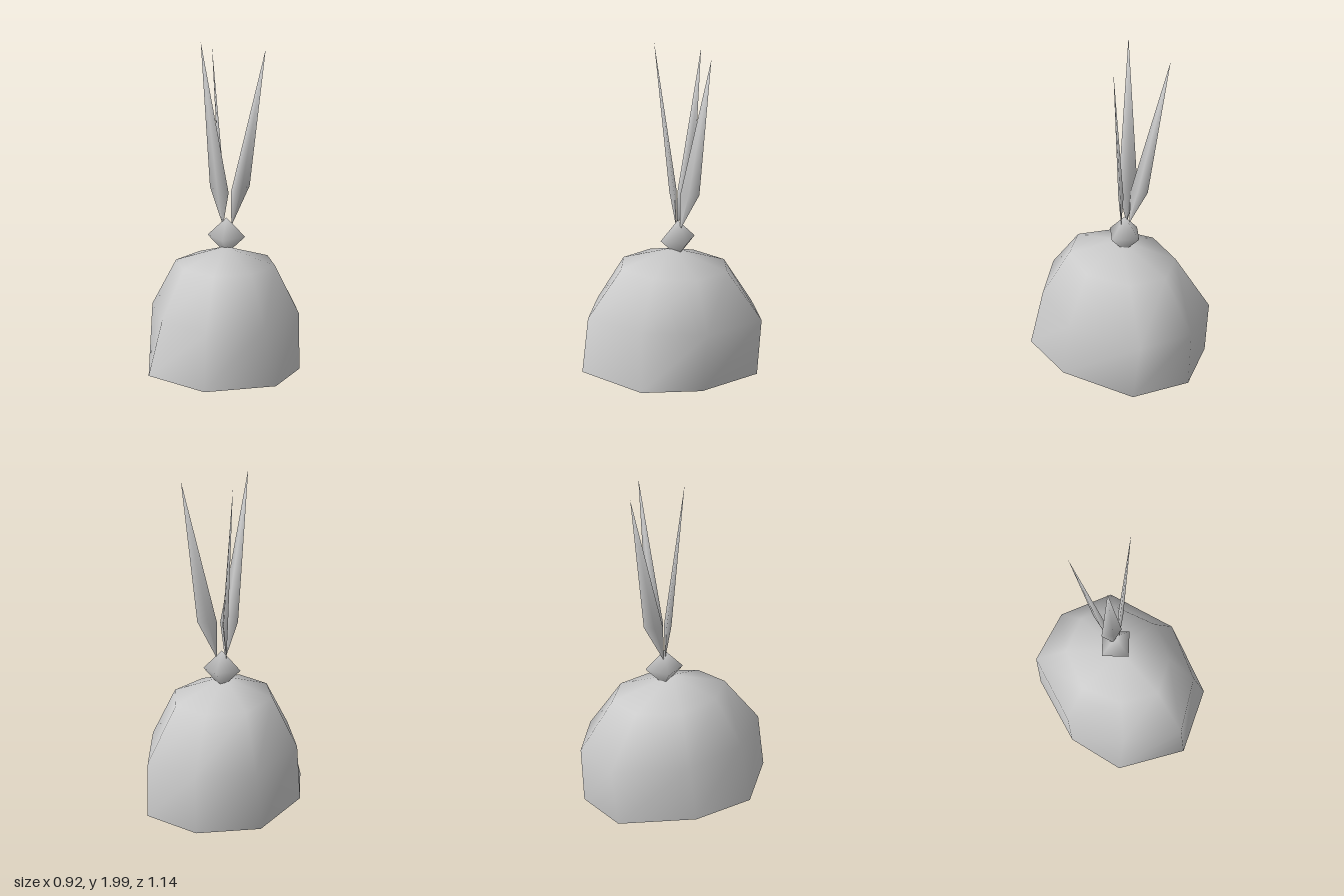
import * as THREE from 'three';

const material = new THREE.MeshStandardMaterial({ color: 0xcccccc, side: THREE.DoubleSide });

// Smooth skin over rings of equal point count, listed bottom to top.
// Rings run anticlockwise seen from above; a single repeated point closes an end.
function loft(rings) {
  const n = rings[0].length;
  const index = [];
  const vertices = [];
  const starts = rings.map((ring) => {
    const start = vertices.length;
    vertices.push(...ring);
    return start;
  });
  const at = (r, j) => starts[r] + (rings[r].length === 1 ? 0 : j % n);
  const size = Math.max(...rings.map((r) => r.length));
  for (let r = 0; r < rings.length - 1; r++) {
    for (let j = 0; j < size; j++) {
      const k = (j + 1) % size;
      const a = at(r, j), b = at(r, k), c = at(r + 1, k), d = at(r + 1, j);
      if (a !== b) index.push(a, b, c);
      if (c !== d) index.push(a, c, d);
    }
  }
  const g = new THREE.BufferGeometry();
  g.setAttribute('position', new THREE.Float32BufferAttribute(vertices.flat(), 3));
  g.setIndex(index);
  g.computeVertexNormals();
  return g;
}

function part(name, geometry) {
  const mesh = new THREE.Mesh(geometry, material);
  mesh.name = name;
  return mesh;
}

// Eight-sided ring mirrored from half an outline [x, z], front to back, on a tilted plane
function capRing(height, tilt, half) {
  const mirrored = half.slice(1, -1).reverse().map(([x, z]) => [-x, z]);
  return [...half, ...mirrored].map(([x, z]) => [x, height + tilt * z, z]);
}

// Slim blade: pointed base and tip, diamond section at its widest level
function feather(base, outer, inner, tip, thickness) {
  const dx = outer[0] - inner[0], dz = outer[2] - inner[2];
  const len = Math.hypot(dx, dz);
  const side = (s) => [
    (outer[0] + inner[0]) / 2 + (s * thickness * dz) / len,
    (outer[1] + inner[1]) / 2,
    (outer[2] + inner[2]) / 2 - (s * thickness * dx) / len,
  ];
  const middle = [outer, side(1), inner, side(-1)];
  return loft([Array(4).fill(base), middle, [tip]]);
}

export function createModel() {
  const model = new THREE.Group();
  model.name = 'featheredCap';

  // Open cap, wider front to back than across
  model.add(part('cap', loft([
    capRing(0.05, 0.086, [[0, 0.57], [0.375, 0.37], [0.46, 0.02], [0.34, -0.42], [0, -0.56]]),
    capRing(0.387, 0.082, [[0, 0.527], [0.3, 0.33], [0.447, -0.02], [0.322, -0.455], [0, -0.573]]),
    capRing(0.672, 0.08, [[0, 0.31], [0.2, 0.2], [0.3, -0.03], [0.21, -0.28], [0, -0.375]]),
    [[0, 0.775, -0.02]],
  ])));

  // Faceted knob on the crown
  const knob = part('knob', new THREE.SphereGeometry(0.113, 4, 2));
  knob.position.set(0, 0.828, -0.06);
  model.add(knob);

  // Three feathers fanning out of the knob: base, outer edge, inner edge, tip
  const feathers = new THREE.Group();
  feathers.name = 'feathers';
  [
    [[-0.02, 0.89, -0.06], [-0.1, 1.12, -0.07], [0.02, 1.1, -0.028], [-0.13, 1.99, 0.027], 0.022],
    [[0.03, 0.89, -0.06], [0.125, 1.12, -0.135], [0.028, 1.1, -0.06], [0.21, 1.93, -0.158], 0.015],
    [[-0.03, 0.89, -0.07], [-0.05, 1.12, -0.192], [-0.035, 1.1, -0.075], [-0.13, 1.92, -0.278], 0.016],
  ].forEach((f, i) => feathers.add(part(`feather${i + 1}`, feather(...f))));
  model.add(feathers);

  return model;
}
